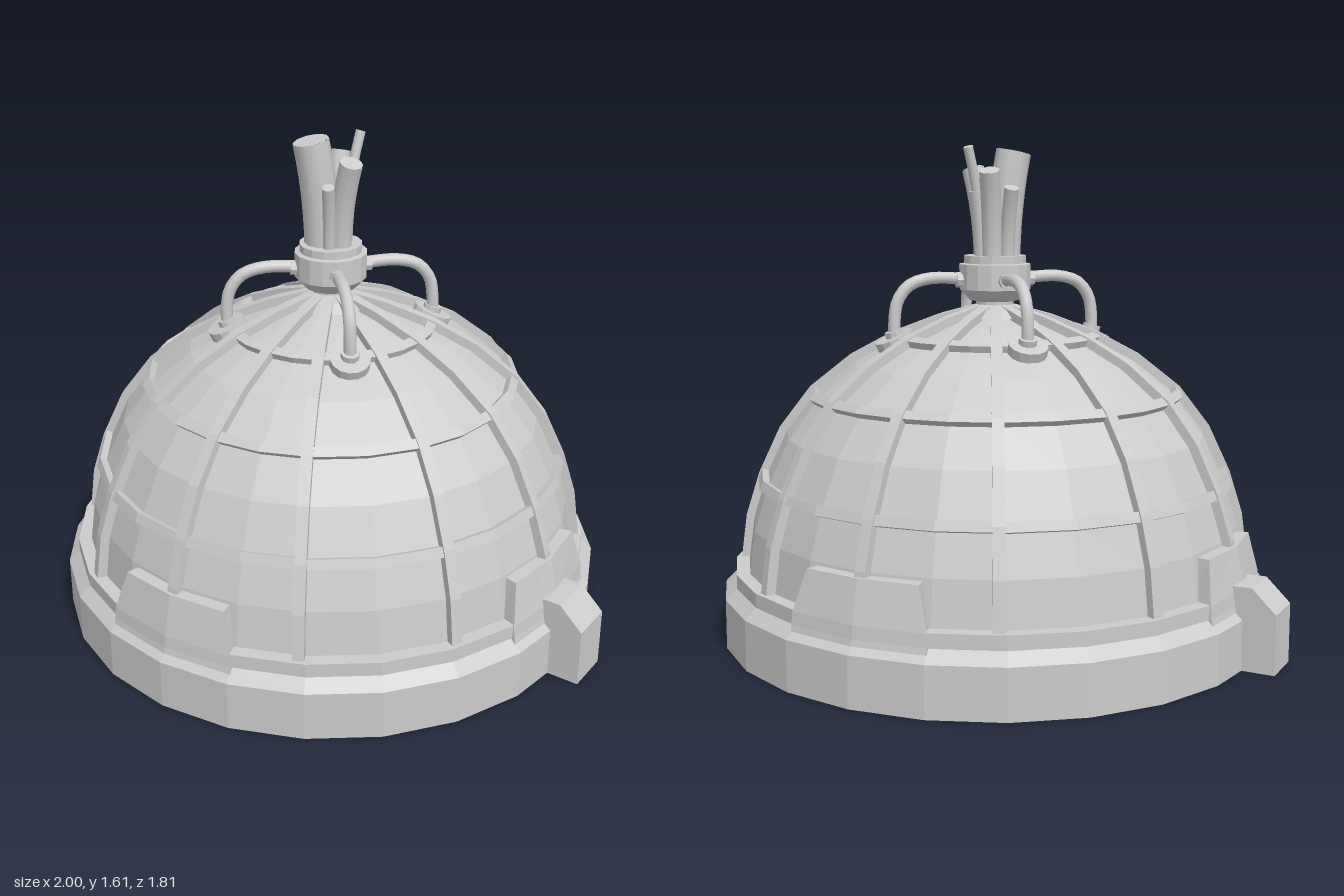
import * as THREE from 'three';

const SIDES = 24;
const flat = new THREE.MeshStandardMaterial({ color: 0xcccccc, flatShading: true });
const smooth = new THREE.MeshStandardMaterial({ color: 0xcccccc });
const open = new THREE.MeshStandardMaterial({ color: 0xcccccc, flatShading: true, side: THREE.DoubleSide });
const V2 = (p) => new THREE.Vector2(p[0], p[1]);
const V3 = (x, y, z) => new THREE.Vector3(x, y, z);

// Dome profile as [radius, height], from the rim to the crown
const dome = [[0.83, 0.2], [0.806, 0.38], [0.762, 0.52], [0.692, 0.67], [0.597, 0.795],
  [0.465, 0.9], [0.325, 0.975], [0.18, 1.03], [0.05, 1.065]].map(V2);

// Profile pushed outwards along its normal
function offsetProfile(distance) {
  return dome.map((p, i) => {
    const a = dome[Math.max(i - 1, 0)], b = dome[Math.min(i + 1, dome.length - 1)];
    const t = b.clone().sub(a).normalize();
    return new THREE.Vector2(p.x + t.y * distance, p.y - t.x * distance);
  });
}

function add(parent, name, geometry, material = flat) {
  const mesh = new THREE.Mesh(geometry, material);
  mesh.name = name;
  parent.add(mesh);
  return mesh;
}

function group(parent, name) {
  const g = new THREE.Group();
  g.name = name;
  parent.add(g);
  return g;
}

const lathe = (points, sides = SIDES) =>
  new THREE.LatheGeometry(points.map((p) => (p.isVector2 ? p : V2(p))), sides);

// Radial profile extruded to a centred thickness
function slab(points, depth, steps = 1) {
  const g = new THREE.ExtrudeGeometry(new THREE.Shape(points), { depth, steps, bevelEnabled: false });
  return g.translate(0, 0, -depth / 2);
}

// Wall bracket: a profile bent around the dome, narrowing above the rim
function bracketGeometry() {
  const profile = [[0.77, 0.16], [0.888, 0.16], [0.88, 0.2], [0.876, 0.24], [0.845, 0.37], [0.77, 0.37]];
  const g = slab(profile.map(V2), 1, 2);
  const pos = g.attributes.position;
  for (let i = 0; i < pos.count; i++) {
    const r = pos.getX(i), y = pos.getY(i);
    const half = THREE.MathUtils.degToRad(y > 0.3 ? 13 : 15.2);
    const a = pos.getZ(i) * 2 * half;
    pos.setXYZ(i, r * Math.cos(a), y, r * Math.sin(a));
  }
  g.computeVertexNormals();
  return g;
}

export function createModel() {
  const model = new THREE.Group();
  model.name = 'domeLamp';

  // Open base ring
  add(model, 'baseRing', lathe([[0.905, 0], [0.905, 0.16], [0.868, 0.195], [0.868, 0.24], [0.78, 0.24]]), open);

  // Inset panels, closed by a floor recessed inside the ring
  add(model, 'domePanels', lathe([[0, 0.12], [0.83, 0.12], ...dome, [0, 1.07]]));

  // Cage: vertical ribs and horizontal hoops
  const cage = group(model, 'cage');
  const outer = offsetProfile(0.027), inner = offsetProfile(-0.015);
  const ribShape = [...outer, ...inner.slice().reverse()];
  for (let quarter = 0; quarter < 4; quarter++) {
    for (const angle of [0, 28.5, 61.5]) {
      const rib = add(cage, 'rib', slab(ribShape, 0.036));
      rib.rotation.y = THREE.MathUtils.degToRad(quarter * 90 + angle);
    }
  }
  const hoopOuter = offsetProfile(0.022);
  for (const i of [2, 4, 6]) {
    const t = dome[i + 1].clone().sub(dome[i - 1]).normalize().multiplyScalar(0.016);
    const o = hoopOuter[i], n = inner[i];
    const loop = [n.clone().sub(t), o.clone().sub(t), o.clone().add(t), n.clone().add(t), n.clone().sub(t)];
    add(cage, 'hoop', lathe(loop));
  }

  // Four brackets rising from the base ring
  const brackets = group(model, 'brackets');
  for (let i = 0; i < 4; i++) {
    add(brackets, 'bracket', bracketGeometry()).rotation.y = (i * Math.PI) / 2;
  }

  // Side clips with a chamfered top, reaching in under the ring
  const clipShape = [[0.8, 0], [1, 0], [1, 0.19], [0.922, 0.265], [0.8, 0.265]].map(V2);
  for (const [name, turn] of [['leftClip', 0], ['rightClip', Math.PI]]) {
    add(model, name, slab(clipShape, 0.15)).rotation.y = turn;
  }

  // Collar on the crown
  add(model, 'collar', lathe([[0.13, 1.05], [0.1, 1.075], [0.062, 1.09], [0.062, 1.1], [0.085, 1.105],
    [0.118, 1.14], [0.118, 1.222], [0.102, 1.225], [0.102, 1.25], [0, 1.25]], 16));

  // Four hoses looping from the collar to feet on the dome
  const hoses = group(model, 'hoses');
  const path = new THREE.CatmullRomCurve3(
    [[0.09, 1.17], [0.15, 1.178], [0.23, 1.177], [0.29, 1.157], [0.328, 1.11], [0.34, 1.05], [0.34, 0.97]]
      .map(([r, y]) => V3(r, y, 0)));
  for (let i = 0; i < 4; i++) {
    const hose = group(hoses, 'hose');
    hose.rotation.y = Math.PI / 4 + (i * Math.PI) / 2;
    add(hose, 'hosePipe', new THREE.TubeGeometry(path, 16, 0.02, 10, false), smooth);
    const nut = add(hose, 'hoseNut', new THREE.CylinderGeometry(0.025, 0.025, 0.025, 8));
    nut.position.set(0.12, 1.172, 0);
    nut.rotation.z = Math.PI / 2;
    const foot = add(hose, 'hoseFoot', new THREE.CylinderGeometry(0.064, 0.064, 0.034, 14));
    foot.position.set(0.338, 0.978, 0);
    foot.rotation.z = -0.42;
    const socket = add(hose, 'hoseSocket', new THREE.CylinderGeometry(0.03, 0.03, 0.024, 10));
    socket.position.set(0.341, 1.0, 0);
    socket.rotation.z = -0.3;
  }

  // Cut cable bundle: base x, z, then tip x, y, z, and radius
  const cables = group(model, 'cables');
  const bundle = [
    [-0.022, 0.015, -0.047, 1.585, 0.042, 0.058],
    [0.04, 0.005, 0.093, 1.53, 0.022, 0.037],
    [-0.015, -0.045, -0.032, 1.525, -0.1, 0.033],
    [0.03, -0.035, 0.045, 1.6, -0.1, 0.016],
    [-0.055, -0.02, -0.09, 1.47, -0.055, 0.024],
    [0.03, 0.05, 0.05, 1.46, 0.085, 0.02],
    [0.025, -0.04, 0.035, 1.46, -0.06, 0.026],
  ];
  for (const [bx, bz, tx, ty, tz, r] of bundle) {
    const base = V3(bx, 1.22, bz), tip = V3(tx, ty, tz);
    // Straight rise at the collar, leaning outwards at the cut end
    const bend = V3(bx, (1.22 + ty) / 2, bz);
    const curve = new THREE.QuadraticBezierCurve3(base, bend, tip);
    add(cables, 'cable', new THREE.TubeGeometry(curve, 6, r, 10, false), smooth);
    const cap = add(cables, 'cableEnd', new THREE.CircleGeometry(r, 10));
    cap.position.copy(tip);
    cap.lookAt(tip.clone().add(curve.getTangent(1)));
  }

  return model;
}
